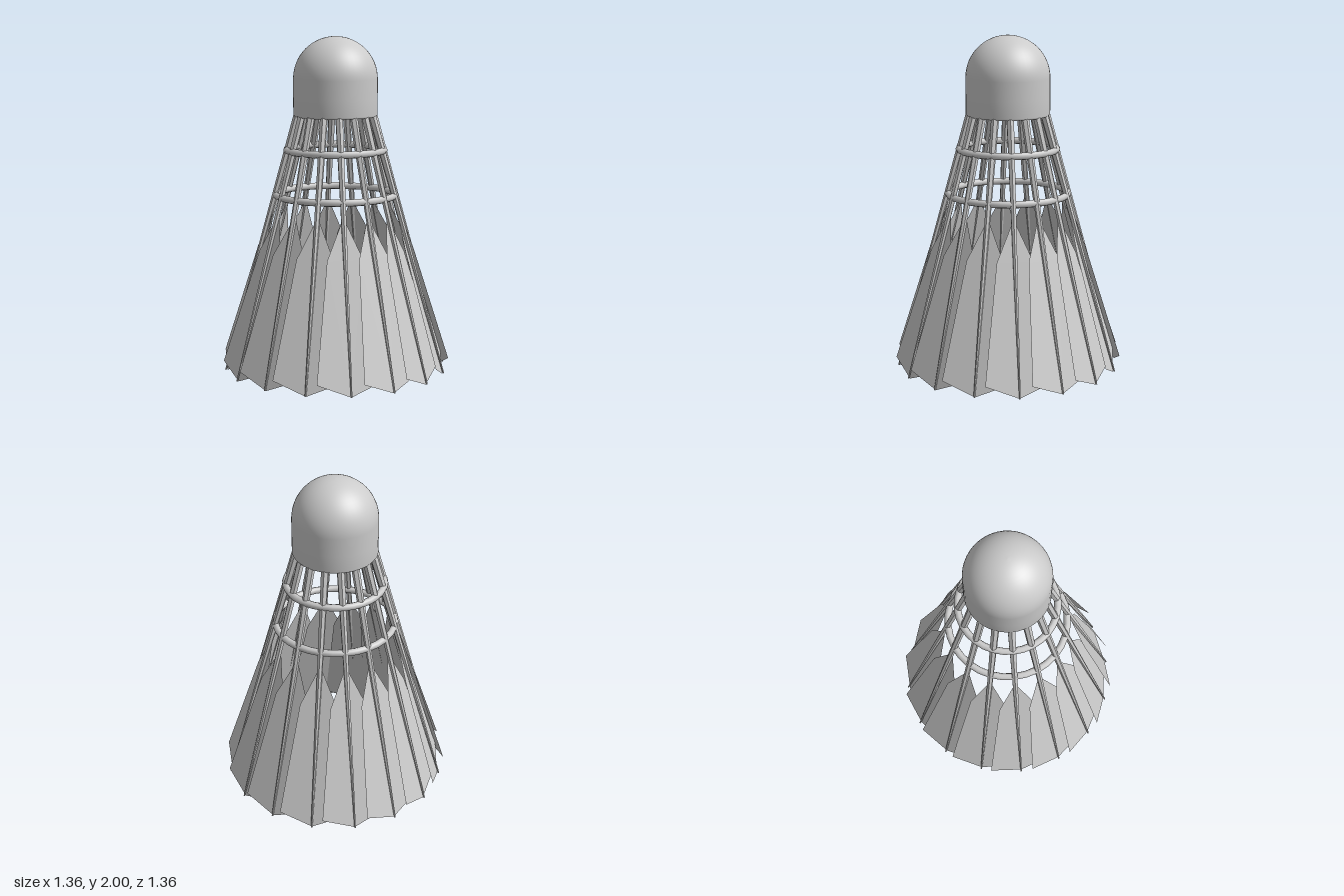
import * as THREE from 'three';

const FEATHERS = 16;
const TWIST = Math.tan(THREE.MathUtils.degToRad(8)); // each vane slips under its neighbour

// Quill line: distance from the axis and sideways lean at height y
const quillRadius = (y) => 0.668 - 0.288 * y;
const quillLean = (y) => 0.018 - 0.014 * y;
const quillPoint = (y) => new THREE.Vector3(quillLean(y), y, quillRadius(y));

function createVaneGeometry() {
  // Pointed blade outline, then laid onto the slanted, twisted plane
  const outline = [[0, 0.002], [0.195, 0.08], [0.106, 0.745], [0, 0.98], [-0.106, 0.745], [-0.195, 0.08]];
  const geometry = new THREE.ShapeGeometry(new THREE.Shape(outline.map(([x, y]) => new THREE.Vector2(x, y))));
  const position = geometry.attributes.position;
  for (let i = 0; i < position.count; i++) {
    const x = position.getX(i);
    const y = position.getY(i);
    position.setXYZ(i, x + quillLean(y), y, quillRadius(y) - 0.01 - x * TWIST);
  }
  geometry.computeVertexNormals();
  return geometry;
}

function createQuillGeometry() {
  // Tapered stem from the feather tip up into the cork
  const bottom = quillPoint(0.004);
  const top = quillPoint(1.56);
  const direction = top.clone().sub(bottom);
  const geometry = new THREE.CylinderGeometry(0.024, 0.005, direction.length(), 6);
  geometry.applyQuaternion(new THREE.Quaternion().setFromUnitVectors(
    new THREE.Vector3(0, 1, 0), direction.clone().normalize()));
  const middle = bottom.add(top).multiplyScalar(0.5);
  return geometry.translate(middle.x, middle.y, middle.z);
}

export function createModel() {
  const model = new THREE.Group();
  model.name = 'shuttlecock';
  const smooth = new THREE.MeshStandardMaterial({ color: 0xcccccc });
  const faceted = new THREE.MeshStandardMaterial({ color: 0xcccccc, flatShading: true });
  const thin = new THREE.MeshStandardMaterial({ color: 0xcccccc, flatShading: true, side: THREE.DoubleSide });

  const add = (parent, name, geometry, material) => {
    const mesh = new THREE.Mesh(geometry, material);
    mesh.name = name;
    parent.add(mesh);
    return mesh;
  };

  // Cork: straight wall with a round dome, closed by a flat base
  const cork = new THREE.Group();
  cork.name = 'cork';
  model.add(cork);
  const profile = [new THREE.Vector2(0.243, 1.53), new THREE.Vector2(0.25, 1.54), new THREE.Vector2(0.25, 1.64)];
  for (let i = 0; i <= 16; i++) {
    const a = (i / 16) * Math.PI / 2;
    profile.push(new THREE.Vector2(0.25 * Math.cos(a), 1.75 + 0.25 * Math.sin(a)));
  }
  add(cork, 'corkDome', new THREE.LatheGeometry(profile, 48), smooth);
  const base = add(cork, 'corkBase', new THREE.CircleGeometry(0.243, 48), smooth);
  base.rotation.x = Math.PI / 2;
  base.position.y = 1.53;

  // Binding rings around the quills
  for (const [name, radius, y] of [['upperRing', 0.29, 1.33], ['lowerRing', 0.356, 1.062]]) {
    const ring = add(model, name, new THREE.TorusGeometry(radius, 0.021, 8, 32), smooth);
    ring.rotation.x = Math.PI / 2;
    ring.position.y = y;
  }

  // Skirt of overlapping feathers
  const skirt = new THREE.Group();
  skirt.name = 'featherSkirt';
  model.add(skirt);
  const vaneGeometry = createVaneGeometry();
  const quillGeometry = createQuillGeometry();
  for (let i = 0; i < FEATHERS; i++) {
    const feather = new THREE.Group();
    feather.name = 'feather';
    feather.rotation.y = (i / FEATHERS) * Math.PI * 2;
    add(feather, 'vane', vaneGeometry, thin);
    add(feather, 'quill', quillGeometry, faceted);
    skirt.add(feather);
  }
  return model;
}
